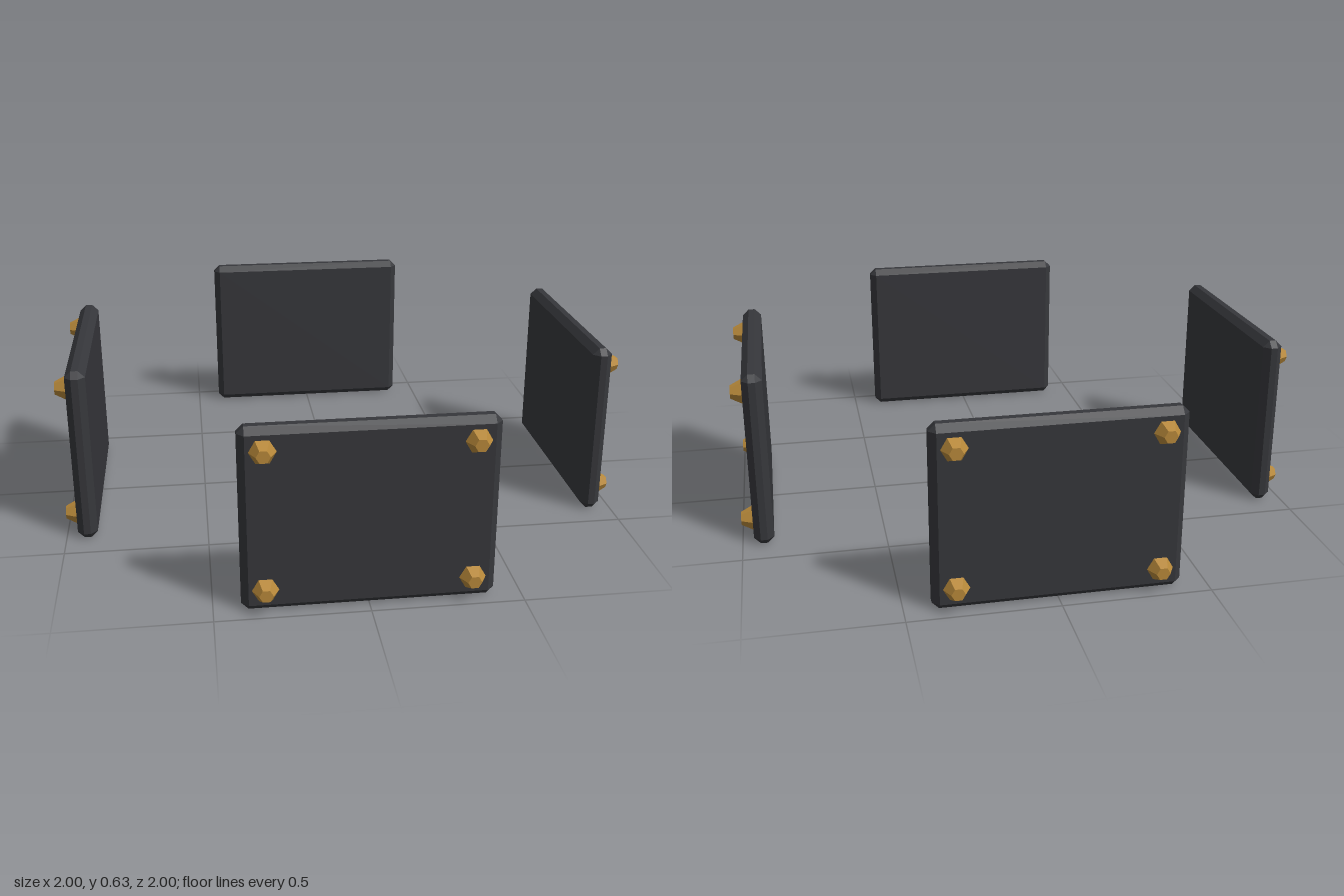
import * as THREE from 'three';
import { ConvexGeometry } from 'three/addons/geometries/ConvexGeometry.js';

const WIDTH = 0.82, HEIGHT = 0.63, DEPTH = 0.07, BEVEL = 0.023;
const PLATE_Z = 0.925; // distance of the plate's centre from the middle
const STUD_X = 0.333, STUD_Y = 0.238;

// Box with every edge and corner chamfered
function chamferedBox(w, h, d, b) {
  const points = [];
  for (const x of [-1, 1]) for (const y of [-1, 1]) for (const z of [-1, 1]) {
    for (let axis = 0; axis < 3; axis++) {
      const half = [w / 2, h / 2, d / 2].map((s, i) => (i === axis ? s : s - b));
      points.push(new THREE.Vector3(x * half[0], y * half[1], z * half[2]));
    }
  }
  return new ConvexGeometry(points);
}

export function createModel() {
  const model = new THREE.Group();
  model.name = 'armourPlates';
  const plateMaterial = new THREE.MeshStandardMaterial({ color: 0x36373b, flatShading: true });
  const studMaterial = new THREE.MeshStandardMaterial({ color: 0xb8893a, flatShading: true });

  const plateGeometry = chamferedBox(WIDTH, HEIGHT, DEPTH, BEVEL);
  // Tapered six-sided stud pointing outwards, corners to the sides
  const studGeometry = new THREE.CylinderGeometry(0.023, 0.046, 0.045, 6);
  studGeometry.rotateY(Math.PI / 6).rotateX(Math.PI / 2);

  // Four plates standing around the middle, studs on their outer faces
  ['front', 'left', 'back', 'right'].forEach((side, i) => {
    const panel = new THREE.Group();
    panel.name = side + 'Panel';
    panel.position.y = HEIGHT / 2;
    panel.rotation.y = i * Math.PI / 2;

    const plate = new THREE.Mesh(plateGeometry, plateMaterial);
    plate.name = 'plate';
    plate.position.z = PLATE_Z;
    panel.add(plate);

    for (const x of [-STUD_X, STUD_X]) for (const y of [-STUD_Y, STUD_Y]) {
      const stud = new THREE.Mesh(studGeometry, studMaterial);
      stud.name = 'stud';
      stud.position.set(x, y, 1 - 0.0225);
      panel.add(stud);
    }
    model.add(panel);
  });
  return model;
}
